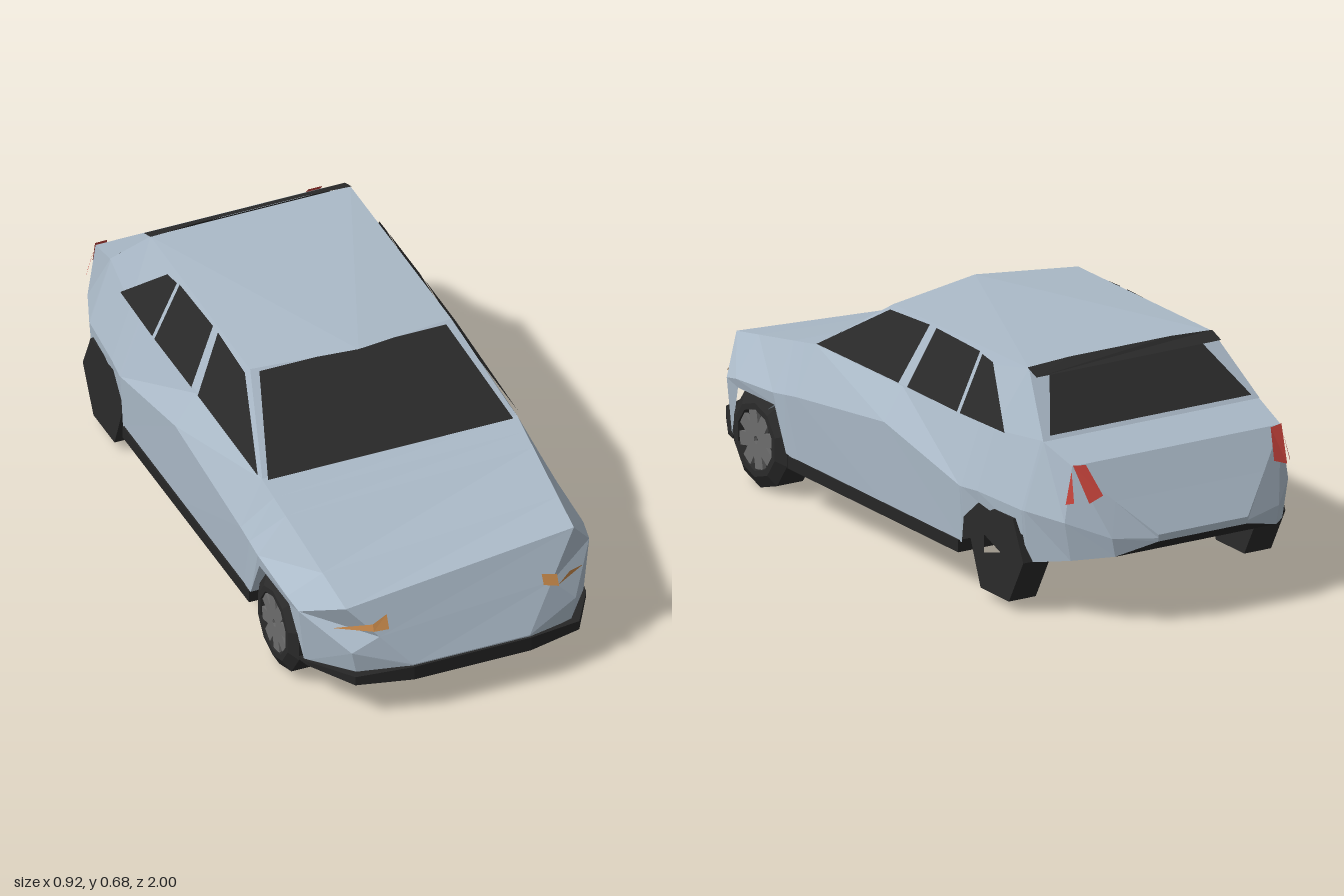
import * as THREE from 'three';

const mat = (name, color, side = THREE.FrontSide) => {
  const m = new THREE.MeshStandardMaterial({ color, side, flatShading: true });
  m.name = name;
  return m;
};

export function createModel() {
  const car = new THREE.Group();
  car.name = 'car';
  const paint = mat('silver blue paint', 0xabbac8);
  const glass = mat('dark glass', 0x2a2a2a, THREE.DoubleSide);
  const trim = mat('black trim', 0x262626);
  const rubber = mat('tyre rubber', 0x2a2a2a);
  const rimGrey = mat('rim grey', 0x6c6c6c);
  const amber = mat('amber lamp', 0xcc8c4c, THREE.DoubleSide);
  const red = mat('red lamp', 0xc8443c, THREE.DoubleSide);

  const add = (name, geo, material, parent = car) => {
    const m = new THREE.Mesh(geo, material);
    m.name = name;
    parent.add(m);
    return m;
  };
  // Flat faced geometry from polygons, each a loop of points
  const faces = (polys) => {
    const out = [];
    for (const p of polys)
      for (let i = 1; i < p.length - 1; i++) out.push(...p[0], ...p[i], ...p[i + 1]);
    const g = new THREE.BufferGeometry();
    g.setAttribute('position', new THREE.Float32BufferAttribute(out, 3));
    g.computeVertexNormals();
    return g;
  };
  const flip = ([x, y, z]) => [-x, y, z];
  const mirrored = (polys) => polys.concat(polys.map((p) => p.map(flip).reverse()));
  const mix = (p, q, t) => p.map((v, i) => v + (q[i] - v) * t);

  // Lower body: z, bottom edge x y, widest x y, shoulder x y, shoulder z shift
  const stations = [
    [0.985, 0.18, 0.142, 0.18, 0.147, 0.18, 0.152],
    [0.93, 0.33, 0.125, 0.345, 0.2, 0.27, 0.257],
    [0.79, 0.43, 0.112, 0.448, 0.285, 0.36, 0.363, 0.09],
    [0.728, 0.45, 0.272, 0.457, 0.3, 0.37, 0.4],
    [0.53, 0.455, 0.278, 0.46, 0.315, 0.38, 0.45],
    [0.47, 0.455, 0.15, 0.46, 0.325, 0.385, 0.465],
    [0.41, 0.45, 0.135, 0.46, 0.335, 0.393, 0.48],
    [-0.05, 0.45, 0.135, 0.46, 0.39, 0.397, 0.485],
    [-0.44, 0.45, 0.14, 0.458, 0.31, 0.395, 0.487],
    [-0.45, 0.45, 0.22, 0.458, 0.31, 0.395, 0.487],
    [-0.52, 0.445, 0.28, 0.45, 0.315, 0.392, 0.488],
    [-0.72, 0.425, 0.235, 0.43, 0.31, 0.365, 0.505],
    [-0.73, 0.415, 0.155, 0.427, 0.31, 0.362, 0.503],
    [-0.86, 0.355, 0.185, 0.375, 0.3, 0.35, 0.465],
    [-0.96, 0.27, 0.21, 0.28, 0.265, 0.25, 0.3625, 0.03],
    [-1.0, 0.15, 0.245, 0.15, 0.255, 0.15, 0.265],
  ];
  const rings = stations.map(([z, bx, by, wx, wy, sx, sy, dz = 0]) => {
    const half = [[bx, by, z], [wx, wy, z], [sx, sy, z + dz]];
    return [...half, ...half.map(flip).reverse()];
  });
  // The bonnet edge stands higher on the left; nose and bonnet run straight from it
  rings[2][2] = [0.37, 0.39, 0.86];
  rings[2][3] = [-0.35, 0.335, 0.9];
  for (const k of [2, 3]) {
    rings[1][k] = mix(rings[0][k], rings[2][k], 0.5);
    [0.28, 0.72, 0.86].forEach((t, i) => { rings[3 + i][k] = mix(rings[2][k], rings[6][k], t); });
  }
  const shell = [rings[0], [...rings[rings.length - 1]].reverse()];
  for (let i = 0; i < rings.length - 1; i++)
    for (let k = 0; k < 5; k++) {
      const a = rings[i][k], b = rings[i][k + 1], c = rings[i + 1][k + 1], d = rings[i + 1][k];
      if (k < 3) shell.push([a, d, b], [d, c, b]);
      else shell.push([a, d, c], [a, c, b]);
    }
  // Underside, with one sloping panel across each pair of wheel wells
  const rearUnder = [];
  const stops = [0, 1, 2, 4, 5, 6, 7, 8, 11, 12, 13, 14, 15];
  for (let s = 0; s < stops.length - 1; s++) {
    const p = rings[stops[s]], q = rings[stops[s + 1]];
    (stops[s] >= 12 ? rearUnder : shell).push([p[5], q[5], q[0], p[0]]);
  }
  add('body', faces(shell), paint);
  add('rearUnderside', faces(rearUnder), trim);

  // Cabin, with the roof peak overhanging the flat windscreen
  const BF = [0.393, 0.476, 0.412], BM = [0.393, 0.486, -0.52], BR = [0.363, 0.504, -0.73];
  const RF = [0.31, 0.662, 0.135], RR = [0.308, 0.668, -0.57], RC = [0, 0.679, 0.19];
  const peak = [RC, RF, flip(RF)];
  add('cabin', faces([
    ...mirrored([[BF, BM, RR, RF], [BM, BR, RR]]),
    [flip(BF), BF, RF, flip(RF)],
    [RC, RF, RR, flip(RR), flip(RF)],
    [...peak].reverse(),
    [BR, flip(BR), flip(RR), RR],
  ]), paint);

  // Windscreen and rear window
  const quad = (low, high) => faces([[low, high, flip(high), flip(low)]]);
  add('windscreen', quad([0.378, 0.476, 0.412], [0.288, 0.655, 0.1455]), glass).position.set(0, 0.003, 0.004);
  add('rearWindow', quad([0.338, 0.513, -0.722], [0.25, 0.655, -0.583]), glass).position.set(0, 0.004, -0.004);

  // Side windows, as z y outlines laid on the sloping cabin side
  const onSide = ([z, y]) => [0.403 - 0.47 * (y - 0.482), y, z];
  const windows = {
    frontSideWindow: [[0.395, 0.487], [0.13, 0.65], [-0.07, 0.66], [-0.03, 0.49]],
    middleSideWindow: [[-0.075, 0.49], [-0.105, 0.66], [-0.335, 0.656], [-0.335, 0.49]],
    rearSideWindow: [[-0.35, 0.49], [-0.35, 0.652], [-0.41, 0.645], [-0.58, 0.495]],
  };
  for (const [name, outline] of Object.entries(windows))
    add(name, faces(mirrored([outline.map(onSide)])), glass);

  // Lamps, the right front one in a single sweep
  add('frontLamps', faces([
    [[0.24, 0.31, 0.912], [0.24, 0.282, 0.927], [0.285, 0.27, 0.932], [0.285, 0.302, 0.917]],
    [[0.285, 0.27, 0.927], [0.39, 0.27, 0.862], [0.33, 0.292, 0.905]],
    [[-0.24, 0.31, 0.917], [-0.285, 0.29, 0.922], [-0.285, 0.27, 0.93], [-0.24, 0.27, 0.935]],
    [[-0.285, 0.29, 0.922], [-0.385, 0.27, 0.866], [-0.285, 0.27, 0.93]],
  ]), amber).position.z = 0.018;
  add('tailLamps', faces(mirrored([
    [[0.353, 0.452, -0.862], [0.377, 0.358, -0.868], [0.362, 0.365, -0.889]],
    [[0.35, 0.469, -0.864], [0.332, 0.368, -0.922], [0.287, 0.385, -0.924], [0.31, 0.465, -0.87]],
  ])), red);

  // Floor
  add('floor', new THREE.BoxGeometry(0.912, 0.036, 0.89), trim).position.set(0, 0.126, 0.015);

  // Front lip, rising towards the nose
  const lipHalf = [[0.44, 0.116, 0.77], [0.43, 0.12, 0.81], [0.345, 0.135, 0.955], [0.18, 0.15, 0.995]];
  const lipTop = [...lipHalf, ...lipHalf.map(flip).reverse()];
  const lipLow = lipTop.map(([x, , z]) => [x, 0.107, z]);
  const lip = [[...lipTop].reverse(), lipLow];
  lipTop.forEach((p, i) => {
    const n = (i + 1) % lipTop.length;
    lip.push([p, lipTop[n], lipLow[n], lipLow[i]]);
  });
  add('frontLip', faces(lip), trim);

  // Roof spoiler, a thin blade leaning down over the rear window
  const bladeHalf = [[0.31, 0.67, -0.565], [0.17, 0.677, -0.565]];
  const blade = [...bladeHalf, ...bladeHalf.map(flip).reverse(), [-0.31, 0.653, -0.612], [0.31, 0.653, -0.612]];
  add('roofSpoiler', faces([[...blade].reverse()]), glass);

  // Wheels
  const path = (pts) => pts.map((p) => new THREE.Vector2(...p));
  const tyreProfile = path(
    [[0, 0.35], [0.145, 0.35], [0.145, 0.437], [0.11, 0.457], [0.092, 0.457], [0.087, 0.44], [0, 0.44]]);
  // Rear tyre outline, first number pointing to the back; the left one is pierced
  const rearTyre = (pierced) => {
    const shape = new THREE.Shape(path(
      [[-0.15, 0.21], [-0.08, 0.283], [0.09, 0.278], [0.145, 0.16], [0.07, 0.026], [-0.078, 0.026]]));
    if (pierced) shape.holes.push(new THREE.Path(path([[-0.06, 0.19], [0.025, 0.16], [-0.06, 0.135]])));
    return new THREE.ExtrudeGeometry(shape, { depth: 0.09, bevelEnabled: false }).rotateY(Math.PI / 2);
  };

  for (const side of [1, -1]) {
    const label = side > 0 ? 'left' : 'right';
    const front = new THREE.Group();
    front.name = label + 'FrontWheel';
    front.position.set(0, 0.145, 0.63);
    front.rotation.y = side > 0 ? 0 : Math.PI;
    const tyre = new THREE.LatheGeometry(tyreProfile, 10).rotateZ(-Math.PI / 2);
    add('tyre', tyre.rotateX(Math.PI / 10), rubber, front);
    for (let i = 0; i < 8; i++) {
      const spoke = new THREE.BoxGeometry(0.012, 0.075, 0.04).translate(0.447, 0.048, 0);
      add('spoke', spoke.rotateX((i * Math.PI) / 4 + 0.2), rimGrey, front);
    }
    car.add(front);

    add(label + 'RearWheel', rearTyre(side > 0), rubber).position.set(side > 0 ? 0.35 : -0.44, 0, -0.6);
  }
  return car;
}
